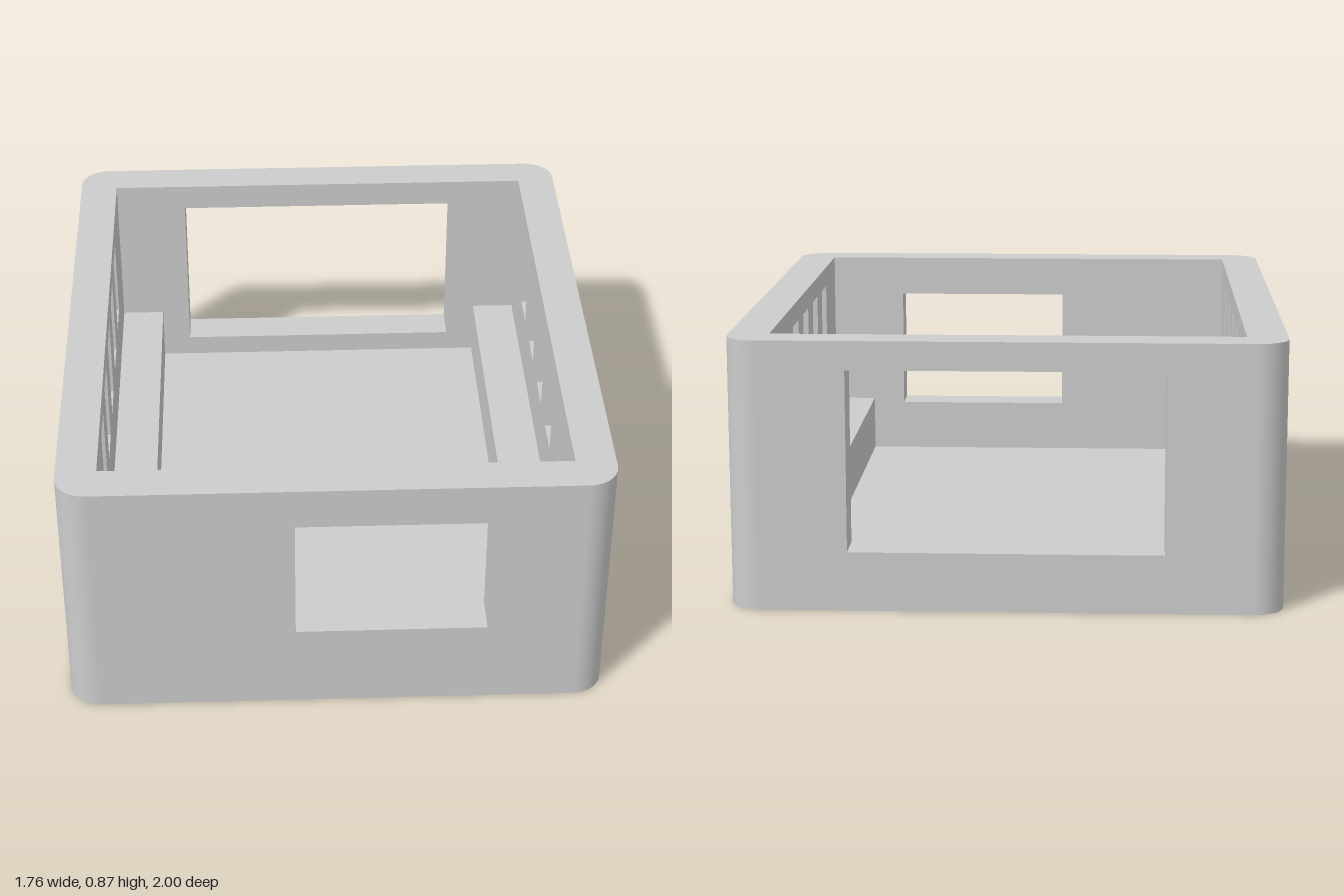
import * as THREE from 'three';
import { mergeGeometries } from 'three/addons/utils/BufferGeometryUtils.js';

const X = 0.88, Z = 1, H = 0.865;          // outer half width, half depth, height
const IX = 0.75, IZ = 0.872;               // cavity half width and half depth
const FLOOR = 0.115, LEDGE = 0.31, LX = 0.6; // floor height, ledge height, ledge inner edge
const R = 0.1, SEG = 10;                   // rounded vertical corners

// Flat polygon with rectangular holes [x0, x1, y0, y1]; s = -1 mirrors it in x
function face(points, holes = [], s = 1) {
  const vec = ([x, y]) => new THREE.Vector2(s * x, y);
  const shape = new THREE.Shape(points.map(vec));
  for (const [a, b, c, d] of holes)
    shape.holes.push(new THREE.Path([[a, c], [b, c], [b, d], [a, d]].map(vec)));
  return new THREE.ShapeGeometry(shape);
}

// Four inward-facing sides of a rectangular cut from depth z0 to z1
function reveal([a, b, c, d], z0, z1) {
  const sides = [0, 1, 2, 3].map(k => {
    const [w, h] = k % 2 ? [d - c, b - a] : [b - a, d - c];
    return new THREE.PlaneGeometry(w, z1 - z0).rotateX(-Math.PI / 2)
      .translate(0, -h / 2, 0).rotateZ(k * Math.PI / 2);
  });
  return mergeGeometries(sides).translate((a + b) / 2, (c + d) / 2, (z0 + z1) / 2);
}

// Footprint with rounded corners
function footprint() {
  const s = new THREE.Shape(), x = X - R, z = Z - R;
  [[x, z], [-x, z], [-x, -z], [x, -z]].forEach(([cx, cy], k) =>
    s.absarc(cx, cy, R, k * Math.PI / 2, (k + 1) * Math.PI / 2, false));
  return s;
}

export function createModel() {
  const model = new THREE.Group();
  model.name = 'ventedCase';
  const grey = new THREE.MeshStandardMaterial({ color: 0xcccccc });
  grey.name = 'light grey';
  const add = (name, geometry, turn = 0) => {
    const mesh = new THREE.Mesh(geometry, grey);
    mesh.name = name;
    mesh.rotation.y = turn;
    model.add(mesh);
  };

  // Wall: outer skin, inner skin and the sides of its openings
  const wall = (name, turn, half, zOut, zIn, inner, holes) => {
    const outer = [[-half, 0], [half, 0], [half, H], [-half, H]];
    add(name, mergeGeometries([
      face(outer, holes).translate(0, 0, zOut),
      face(inner, holes, -1).rotateY(Math.PI).translate(0, 0, zIn),
      ...holes.map(h => reveal(h, zIn, zOut)),
    ]), turn);
  };

  // End walls, their inner skins stepping around the ledges
  const endInner = [[-LX, FLOOR], [LX, FLOOR], [LX, LEDGE], [IX, LEDGE],
    [IX, H], [-IX, H], [-IX, LEDGE], [-LX, LEDGE]];
  wall('frontWall', 0, X - R, Z, IZ, endInner, [[-0.135, 0.485, 0.295, 0.725]]);
  wall('backWall', Math.PI, X - R, Z, IZ, endInner, [[-0.5, 0.5, 0.19, 0.773]]);

  // Side walls with five vent slots each
  const slots = [-2, -1, 0, 1, 2].map(i => [i * 0.262 - 0.067, i * 0.262 + 0.067, 0.508, 0.795]);
  const sideInner = [[-IZ, LEDGE], [IZ, LEDGE], [IZ, H], [-IZ, H]];
  wall('leftWall', Math.PI / 2, Z - R, X, IX, sideInner, slots);
  wall('rightWall', -Math.PI / 2, Z - R, X, IX, sideInner, slots);

  // Rounded corners
  [[1, 1], [1, -1], [-1, -1], [-1, 1]].forEach(([sx, sz], k) => add('corner',
    new THREE.CylinderGeometry(R, R, H, SEG, 1, true, k * Math.PI / 2, Math.PI / 2)
      .translate(sx * (X - R), H / 2, sz * (Z - R))));

  // Rim, underside and inner floor
  const rim = footprint();
  rim.holes.push(new THREE.Path([[-IX, -IZ], [IX, -IZ], [IX, IZ], [-IX, IZ]]
    .map(p => new THREE.Vector2(...p))));
  add('rim', new THREE.ShapeGeometry(rim, SEG).rotateX(-Math.PI / 2).translate(0, H, 0));
  add('underside', new THREE.ShapeGeometry(footprint(), SEG).rotateX(Math.PI / 2));
  add('floor', new THREE.PlaneGeometry(2 * LX, 2 * IZ).rotateX(-Math.PI / 2).translate(0, FLOOR, 0));

  // Ledges along both sides
  for (const s of [-1, 1]) {
    add('ledge', mergeGeometries([
      new THREE.PlaneGeometry(IX - LX, 2 * IZ).rotateX(-Math.PI / 2)
        .translate(s * (IX + LX) / 2, LEDGE, 0),
      new THREE.PlaneGeometry(2 * IZ, LEDGE - FLOOR).rotateY(-s * Math.PI / 2)
        .translate(s * LX, (LEDGE + FLOOR) / 2, 0),
    ]));
  }
  return model;
}
